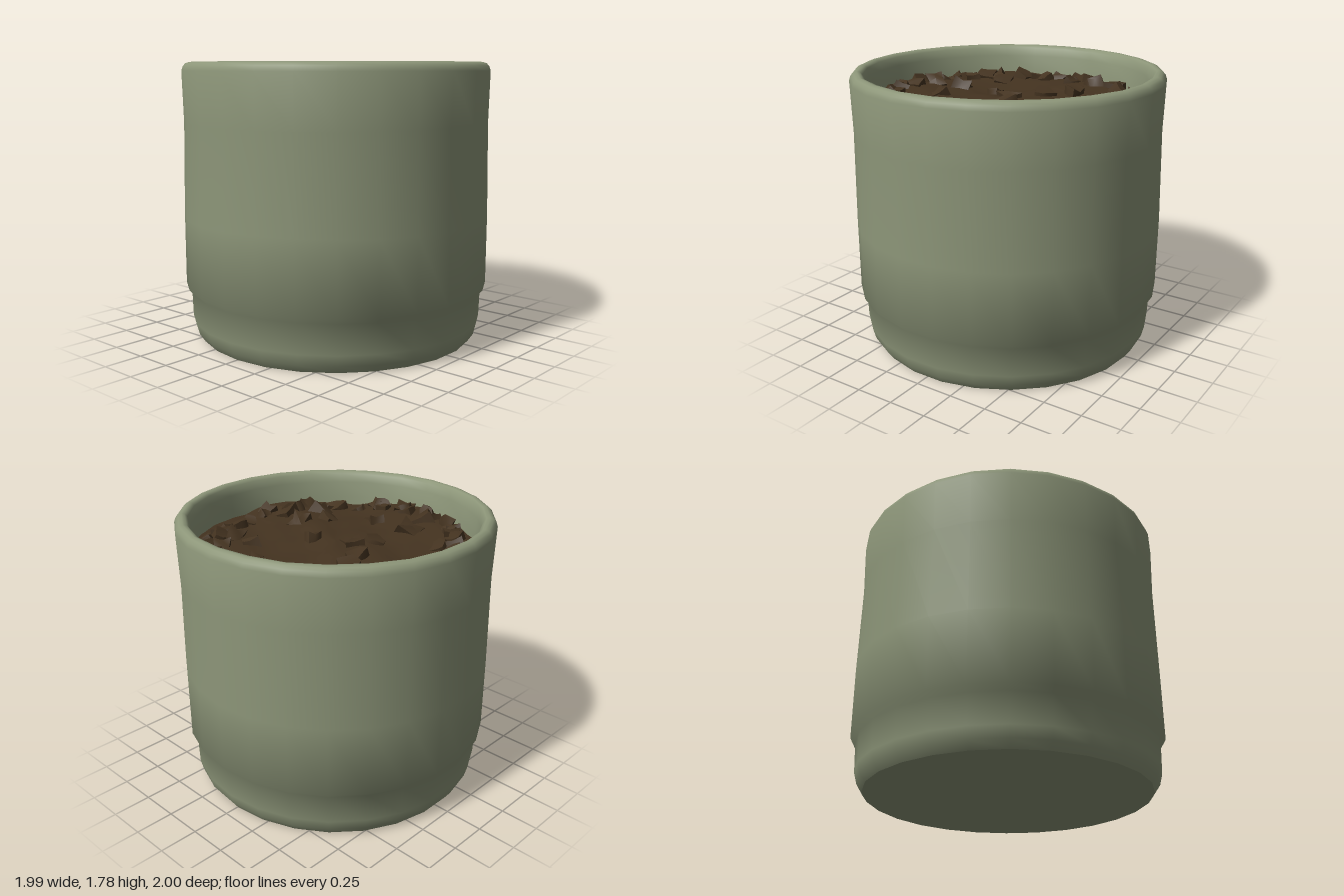
import * as THREE from 'three';
import { mergeGeometries, toCreasedNormals } from 'three/addons/utils/BufferGeometryUtils.js';

const SOIL_Y = 1.575;

// Small seeded generator for the scattered crumbs
function seeded(seed) {
  return () => {
    seed = (seed * 16807) % 2147483647;
    return seed / 2147483647;
  };
}

// Lumpy unevenness of the soil
const soilHeight = (x, z) =>
  SOIL_Y + 0.012 * Math.sin(7 * x + 2 * z) + 0.012 * Math.cos(8 * z - 3 * x)
  + 0.01 * Math.sin(17 * x - 5 * z) * Math.cos(15 * z + 4 * x);

// Pot wall: foot, step, body, rounded rim and sloping inner wall in one profile
function potGeometry() {
  const profile = [
    [0, 0], [0.905, 0], [0.94, 0.05], [0.958, 0.12], [0.965, 0.31],
    [0.998, 0.345], [0.998, 0.8], [0.988, 1.4], [0.998, 1.73], [0.988, 1.76],
    [0.972, 1.777], [0.95, 1.785], [0.93, 1.781], [0.914, 1.765],
    [0.9, 1.71], [0.885, 1.61], [0.875, 1.5],
  ].map(([r, y]) => new THREE.Vector2(r, y));
  const geometry = new THREE.LatheGeometry(profile, 26);
  // Hand-formed wobble of the wall, stronger inside the rim
  const p = geometry.attributes.position;
  for (let i = 0; i < p.count; i++) {
    const x = p.getX(i), y = p.getY(i), z = p.getZ(i);
    const a = Math.atan2(x, z);
    const inside = y > 1.55 && Math.hypot(x, z) < 0.94;
    const k = 1 + 0.004 * Math.sin(3 * a + 4 * y) * Math.cos(2 * a)
      + (inside ? 0.008 * Math.sin(9 * a) * Math.sin(18 * y) : 0);
    p.setXYZ(i, x * k, y, z * k);
  }
  return toCreasedNormals(geometry, 0.92);
}

function soilGeometry() {
  const geometry = new THREE.RingGeometry(0.001, 0.885, 32, 10);
  geometry.rotateX(-Math.PI / 2);
  const p = geometry.attributes.position;
  for (let i = 0; i < p.count; i++) p.setY(i, soilHeight(p.getX(i), p.getZ(i)));
  geometry.computeVertexNormals();
  return geometry;
}

// One worn crumb, half sunk in the soil; shared corners move together
function crumbGeometry(x, z, size, random) {
  const geometry = new THREE.BoxGeometry(size * 1.7, size * 1.3, size * 1.4, 2, 1, 2);
  const p = geometry.attributes.position;
  const phase = random() * 6;
  for (let i = 0; i < p.count; i++) {
    const a = p.getX(i) / size, b = p.getY(i) / size, c = p.getZ(i) / size;
    const k = 1 + 0.2 * Math.sin(3 * a + 5 * b + 4 * c + phase) - 0.12 * Math.abs(a * c);
    p.setXYZ(i, p.getX(i) * k, p.getY(i) * k, p.getZ(i) * k);
  }
  geometry.rotateX((random() - 0.5) * 1.3);
  geometry.rotateZ((random() - 0.5) * 1.1);
  geometry.rotateY(random() * Math.PI * 2);
  geometry.translate(x, soilHeight(x, z) - size * 0.2, z);
  return toCreasedNormals(geometry, 0.9);
}

function crumbsGeometry() {
  const random = seeded(4711);
  const crumbs = [];
  // Crumbs scattered across the middle
  const spots = [
    [0.1, -0.58], [0.51, -0.41], [-0.28, -0.55], [0.34, -0.4], [-0.28, -0.1],
    [0.12, -0.08], [-0.1, 0.06], [-0.15, 0.2], [0.44, 0.11], [0.34, 0.28],
    [0.52, 0.4], [-0.53, 0.4], [-0.18, 0.5], [0.1, 0.48], [-0.15, 0.7],
    [-0.39, 0.67], [0.65, 0.18], [-0.38, -0.27], [-0.65, -0.28], [-0.68, -0.08],
    [0.27, 0.75], [0.1, 0.8], [0.4, -0.68], [0.2, -0.78], [0.08, -0.77],
  ];
  for (const [x, z] of spots) crumbs.push(crumbGeometry(x, z, 0.06 + random() * 0.025, random));
  // Crumbs gathered along the wall
  for (let i = 0; i < 46; i++) {
    const a = (i + random() * 0.7) / 46 * Math.PI * 2;
    const r = 0.72 + random() * 0.1;
    crumbs.push(crumbGeometry(r * Math.cos(a), r * Math.sin(a), 0.05 + random() * 0.025, random));
  }
  return mergeGeometries(crumbs);
}

export function createModel() {
  const glaze = new THREE.MeshStandardMaterial({ color: 0x8d9679 });
  glaze.name = 'sage glaze';
  const earth = new THREE.MeshStandardMaterial({ color: 0x443320 });
  earth.name = 'dark earth';

  const group = new THREE.Group();
  group.name = 'plantPot';
  const add = (name, geometry, material) => {
    const mesh = new THREE.Mesh(geometry, material);
    mesh.name = name;
    group.add(mesh);
  };
  add('pot', potGeometry(), glaze);
  add('soil', soilGeometry(), earth);
  add('soilCrumbs', crumbsGeometry(), earth);
  return group;
}
